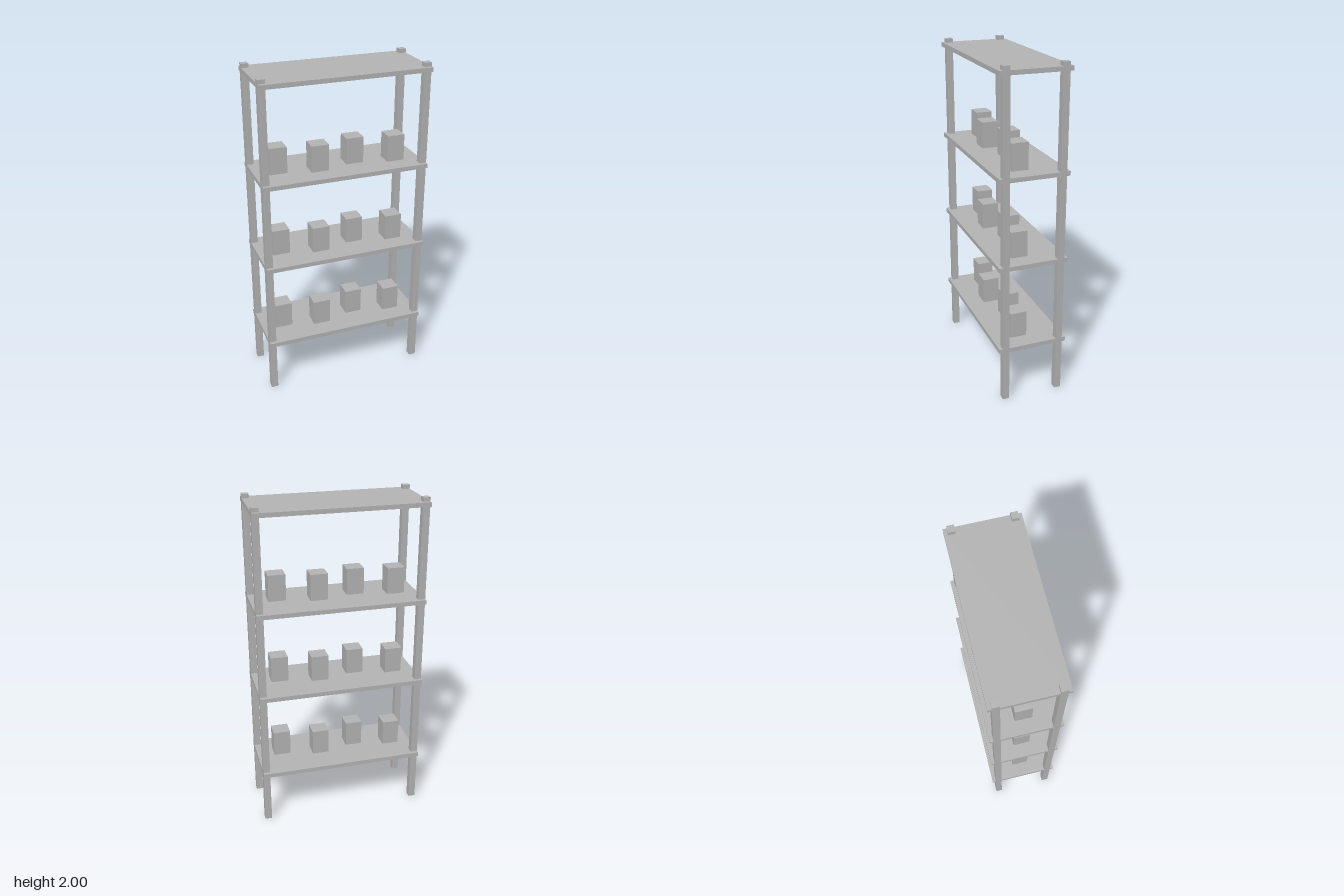
import * as THREE from 'three';

export function createModel() {
  const model = new THREE.Group();
  model.name = 'shelvingUnit';
  const grey = new THREE.MeshStandardMaterial({ color: 0xb4b4b4 });
  grey.name = 'plain grey';

  // Box standing on a given base height
  function addBox(name, w, h, d, x, base, z) {
    const mesh = new THREE.Mesh(new THREE.BoxGeometry(w, h, d), grey);
    mesh.name = name;
    mesh.position.set(x, base + h / 2, z);
    model.add(mesh);
  }

  // Corner posts, flush with the shelf ends and set in from their long edges
  for (const [sideName, sx] of [['Left', 1], ['Right', -1]]) {
    for (const [endName, sz] of [['front', 1], ['back', -1]]) {
      addBox(`${endName}${sideName}Post`, 0.042, 2, 0.04, sx * 0.483, 0, sz * 0.169);
    }
  }

  // Shelves
  const thickness = 0.026;
  const shelfBases = [0.321, 0.846, 1.371, 1.95];
  shelfBases.forEach((y, i) => addBox(`shelf${i + 1}`, 1.008, thickness, 0.42, 0, y, 0));

  // Staggered row of cartons on each of the lower three shelves
  const cartons = [[-0.367, 0], [-0.129, 0.048], [0.104, 0], [0.346, 0.048]];
  shelfBases.slice(0, 3).forEach((y, i) => {
    cartons.forEach(([x, z], j) => {
      addBox(`carton${i + 1}_${j + 1}`, 0.105, 0.16, 0.1, x, y + thickness, z);
    });
  });

  return model;
}
